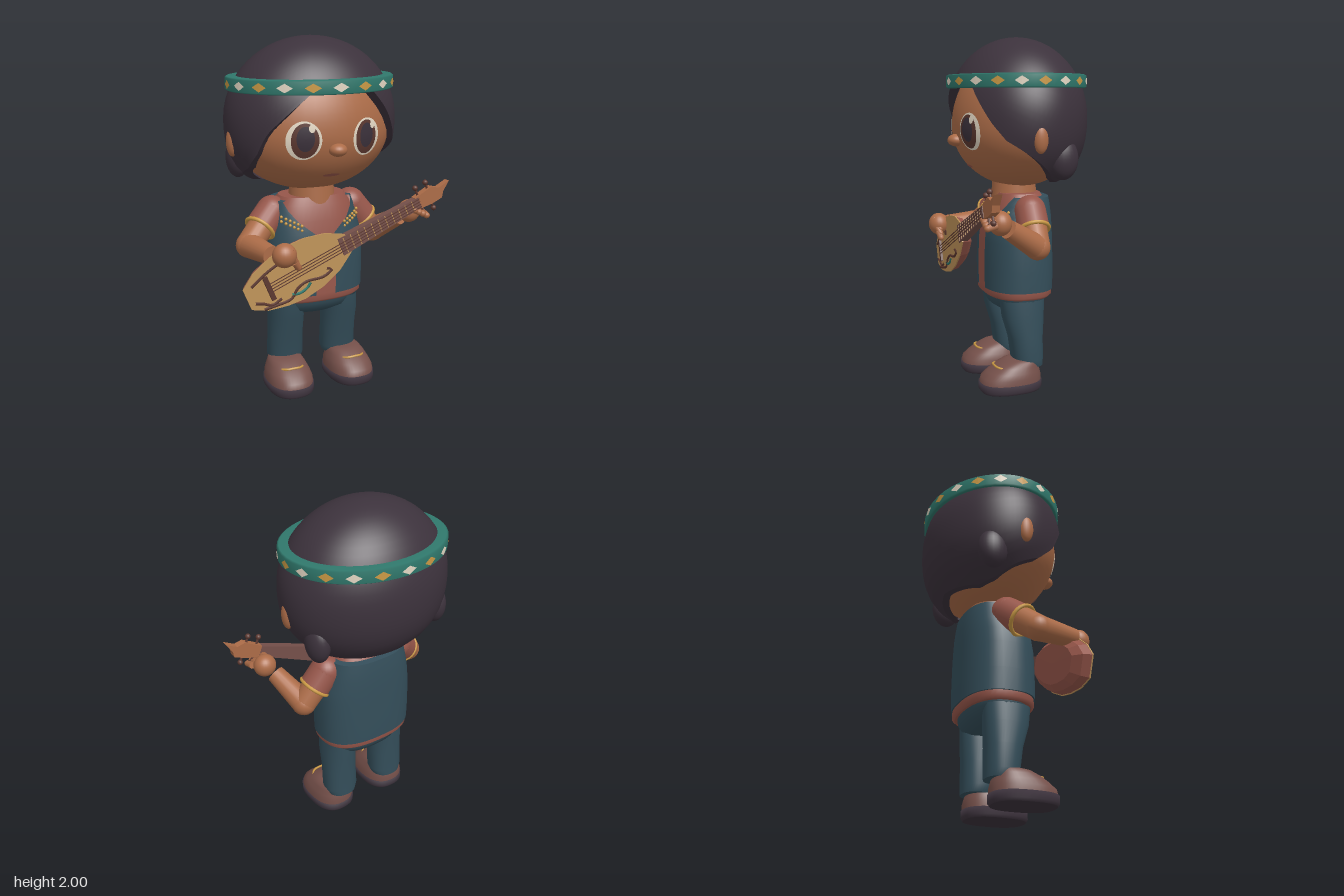
import * as THREE from 'three';

const MID = -0.08; // x of the figure's centre line
const mat = (name, color, double) => {
  const m = new THREE.MeshStandardMaterial({ color });
  m.name = name;
  if (double) m.side = THREE.DoubleSide;
  return m;
};

export function createModel() {
  const M = {
    hair: mat('dark hair', 0x3c323c, true), skin: mat('skin', 0xac6c48), teal: mat('teal', 0x30786c),
    gold: mat('gold', 0xcb9a45), cream: mat('cream', 0xe4d8c4), red: mat('brick red', 0x96564a),
    navy: mat('navy cloth', 0x344e5a, true), shoe: mat('shoe brown', 0x75504a),
    tan: mat('pale wood', 0xc0945a), wood: mat('dark wood', 0x5c3830),
  };
  const root = new THREE.Group();
  const group = (name, parent = root) => {
    const g = new THREE.Group();
    g.name = name;
    parent.add(g);
    return g;
  };
  const add = (name, geo, m, parent = root, pos = [0, 0, 0]) => {
    const mesh = new THREE.Mesh(geo, m);
    mesh.name = name;
    mesh.position.set(...pos);
    parent.add(mesh);
    return mesh;
  };
  const V = (p) => new THREE.Vector3(...p);

  // Surface from rows of points, closed round the row or open
  function grid(n, rows, fn, closed = true) {
    const pos = [], idx = [], w = closed ? n : n + 1;
    for (let j = 0; j < rows; j++) for (let i = 0; i < w; i++) pos.push(...fn(i / n, j));
    for (let j = 0; j < rows - 1; j++) for (let i = 0; i < n; i++) {
      const a = j * w + i, b = j * w + (i + 1) % w;
      idx.push(a, b, b + w, a, b + w, a + w);
    }
    const g = new THREE.BufferGeometry();
    g.setAttribute('position', new THREE.Float32BufferAttribute(pos, 3));
    g.setIndex(idx);
    g.computeVertexNormals();
    return g;
  }
  const pw = (s, e) => Math.sign(s) * Math.abs(s) ** e;
  const ring = (a, hx, hz, cz, n = 2) => [hx * pw(Math.sin(a), 2 / n), hz * pw(Math.cos(a), 2 / n) + cz];
  // Stack of rounded sections [y, halfX, halfZ, centreZ]; repeat a section for a crease
  const loft = (secs, n = 2, open) => grid(48, secs.length, (t, j) => {
    const [y, hx, hz, cz] = secs[j], o = open ? open(y) : 0;
    const [x, z] = ring(o + t * (2 * Math.PI - 2 * o), hx, hz, cz, n);
    return [x, y, z];
  }, !open);
  const ball = (name, p, r, m, parent, sides = 24) => {
    const s = add(name, new THREE.SphereGeometry(1, sides, sides * 0.75), m, parent, p);
    s.scale.set(...(Array.isArray(r) ? r : [r, r, r]));
  };
  const rod = (name, p, q, r0, r1, m, parent, sides = 20) => {
    const d = V(q).sub(V(p));
    const s = add(name, new THREE.CylinderGeometry(r1, r0, d.length(), sides), m, parent,
      V(p).add(V(q)).multiplyScalar(0.5).toArray());
    s.quaternion.setFromUnitVectors(new THREE.Vector3(0, 1, 0), d.normalize());
  };
  const tube = (name, pts, r, m, parent) =>
    add(name, new THREE.TubeGeometry(new THREE.CatmullRomCurve3(pts.map(V)), 24, r, 6), m, parent);

  // Head
  const head = group('head');
  head.position.x = MID;
  const skull = new THREE.SphereGeometry(1, 48, 36), sp = skull.attributes.position;
  for (let i = 0; i < sp.count; i++) {
    const y = sp.getY(i);
    sp.setXYZ(i, sp.getX(i) * 0.46, 1.5 + y * (y > 0 ? 0.43 : 0.345), sp.getZ(i) * 0.37 - 0.04);
  }
  skull.computeVertexNormals();
  add('face', skull, M.skin, head);
  const faceZ = (x, y) => -0.04 + 0.37 * Math.sqrt(Math.max(0,
    1 - (x / 0.46) ** 2 - ((y - 1.5) / (y > 1.5 ? 0.43 : 0.345)) ** 2));
  // Oval plate laid on the face
  const patch = (name, cx, cy, rx, ry, lift, m) => add(name, grid(32, 6, (t, j) => {
    const a = t * 2 * Math.PI, k = 1 - j / 5;
    const x = cx + rx * k * Math.cos(a), y = cy + ry * k * Math.sin(a);
    return [x, y, faceZ(x, y) + lift];
  }), m, head);
  for (const s of [-1, 1]) {
    const x = s * 0.18;
    patch('eyeWhite', x, 1.48, 0.09, 0.102, 0.004, M.cream);
    patch('iris', x - s * 0.004, 1.48, 0.07, 0.092, 0.007, M.wood);
    patch('pupil', x - s * 0.004, 1.49, 0.045, 0.066, 0.01, M.hair);
    patch('eyeGlint', x + 0.035, 1.545, 0.016, 0.022, 0.013, M.cream);
    ball('ear', [s * 0.465, 1.45, -0.01], [0.033, 0.08, 0.042], M.skin, head);
    ball('hairLock', [s * 0.385, 1.335, -0.17], [0.065, 0.115, 0.085], M.hair, head);
  }
  ball('nose', [0, 1.425, 0.325], [0.05, 0.035, 0.048], M.skin, head);
  patch('mouth', 0, 1.277, 0.05, 0.009, 0.005, M.red);

  // Hair shell, cut off at a hairline given as [azimuth in degrees, height]
  const hairline = [[-180, 1.22], [-130, 1.19], [-110, 1.21], [-90, 1.27], [-70, 1.32], [-57, 1.4], [-47, 1.52],
    [-32, 1.63], [-19, 1.72], [29, 1.72], [40, 1.62], [49, 1.53], [60, 1.44], [72, 1.39], [90, 1.31],
    [110, 1.22], [130, 1.19], [180, 1.22]];
  const lineY = (deg) => {
    const i = Math.max(1, hairline.findIndex((p) => p[0] >= deg - 1e-6));
    const [a, b] = [hairline[i - 1], hairline[i]];
    return a[1] + (b[1] - a[1]) * (deg - a[0]) / (b[0] - a[0]);
  };
  add('hair', grid(96, 24, (t, j) => {
    const a = (t * 2 - 1) * Math.PI, low = lineY(t * 360 - 180);
    const v = Math.max(0, j - 2) / 21;
    const y = low + (2 - low) * Math.sin(v * Math.PI / 2);
    const k = y > 1.55 ? Math.sqrt(Math.max(0, 1 - ((y - 1.55) / 0.45) ** 2))
      : (1 - ((1.55 - y) / 0.42) ** 2.4) ** (1 / 2.4);
    const f = j === 0 ? k * 0.86 : k;
    const [x, z] = ring(a, 0.49 * f, 0.395 * f, -0.03);
    return [x, y, z];
  }), M.hair, head);

  // Headband with diamonds
  const band = [[1.715, 0.41, 0.33], [1.715, 0.465, 0.38], [1.722, 0.475, 0.39], [1.783, 0.475, 0.39],
    [1.79, 0.465, 0.38], [1.79, 0.41, 0.33]].map((s) => [...s, -0.03]);
  add('headband', loft(band), M.teal, head);
  for (let i = 0; i < 20; i++) {
    const a0 = i * Math.PI / 10;
    add('headbandDiamond', grid(4, 2, (t, j) => {
      const b = t * 2 * Math.PI, k = 1 - j;
      const [x, z] = ring(a0 + Math.cos(b) * 0.095 * k, 0.479, 0.394, -0.03);
      return [x, 1.752 + Math.sin(b) * 0.024 * k, z];
    }), i % 2 ? M.gold : M.cream, head);
  }

  // Torso
  const body = group('body');
  body.position.x = MID;
  rod('neck', [0, 1.05, -0.02], [0, 1.2, -0.02], 0.135, 0.125, M.skin, body, 32);
  add('shirt', loft([[0.53, 0, 0, -0.02], [0.53, 0.27, 0.18, -0.02], [0.53, 0.27, 0.18, -0.02],
    [0.545, 0.285, 0.195, -0.02], [0.58, 0.283, 0.193, -0.02], [0.85, 0.275, 0.188, -0.02],
    [1.0, 0.25, 0.172, -0.03], [1.08, 0.225, 0.15, -0.035], [1.125, 0.19, 0.125, -0.03],
    [1.125, 0.19, 0.125, -0.03], [1.125, 0, 0, -0.03]], 2.5), M.red, body);
  const openAt = (y) => y < 0.93 ? 0.14 : 0.14 + (y - 0.93) / 0.17 * 0.85;
  const vest = [[0.575, 0.27, 0.18, -0.02], [0.575, 0.292, 0.2, -0.02], [0.575, 0.292, 0.2, -0.02],
    [0.7, 0.294, 0.201, -0.02], [0.85, 0.29, 0.198, -0.02], [0.93, 0.28, 0.192, -0.024], [1.0, 0.265, 0.183, -0.03],
    [1.06, 0.25, 0.172, -0.035], [1.105, 0.235, 0.16, -0.04], [1.105, 0.235, 0.16, -0.04], [1.11, 0.18, 0.12, -0.04]];
  add('vest', loft(vest, 2.5, openAt), M.navy, body);
  // Gold beads on the chest of the vest
  for (const s of [-1, 1]) for (let r = 0; r < 2; r++) for (let i = 0; i < 6; i++) {
    const y = 0.955 + i * 0.01 + r * 0.026, x = 0.13 + i * 0.02;
    const z = -0.028 + 0.184 * (1 - (x / 0.27) ** 2.5) ** 0.4;
    ball('vestBead', [s * x, y, z], 0.009, M.gold, body, 8);
  }

  // Trousers and shoes
  add('hips', loft([[0.43, 0, 0, -0.02], [0.44, 0.14, 0.1, -0.02], [0.47, 0.23, 0.145, -0.02],
    [0.51, 0.26, 0.165, -0.02], [0.54, 0.26, 0.17, -0.02]], 2.3), M.navy, body);
  for (const s of [-1, 1]) {
    const leg = group('leg', body);
    leg.position.x = s * 0.17;
    add('trouserLeg', loft([[0.13, 0, 0, -0.04], [0.13, 0.09, 0.085, -0.045], [0.13, 0.09, 0.085, -0.045],
      [0.17, 0.105, 0.09, -0.04], [0.3, 0.1, 0.1, -0.03], [0.42, 0.098, 0.122, -0.015],
      [0.52, 0.09, 0.13, -0.01]], 2.3), M.navy, leg);
    const shoe = group('shoe', leg);
    shoe.position.x = s * 0.02;
    shoe.rotation.y = s * 0.03;
    add('sole', loft([[0, 0, 0, 0.07], [0, 0.122, 0.172, 0.07], [0, 0.122, 0.172, 0.07],
      [0.015, 0.133, 0.182, 0.07], [0.055, 0.133, 0.182, 0.07], [0.055, 0, 0, 0.07]], 2.5), M.hair, shoe);
    add('upper', loft([[0.05, 0.13, 0.178, 0.07], [0.085, 0.128, 0.174, 0.066], [0.115, 0.118, 0.152, 0.052],
      [0.145, 0.105, 0.126, 0.035], [0.168, 0.092, 0.1, 0.012], [0.178, 0.07, 0.08, 0],
      [0.18, 0, 0, 0]], 2.4), M.shoe, shoe);
    tube('shoeCord', [[-0.085, 0.135, 0.11], [-0.04, 0.147, 0.16], [0, 0.15, 0.166],
      [0.04, 0.147, 0.16], [0.085, 0.135, 0.11]], 0.007, M.gold, shoe);
  }

  // Arms: shoulder, elbow, wrist, hand
  const arms = [
    ['rightArm', [-0.32, 1.04, -0.03], [-0.495, 0.89, 0.07], [-0.45, 0.89, 0.3], [-0.4, 0.9, 0.355]],
    ['leftArm', [0.17, 1.04, -0.03], [0.315, 0.86, -0.02], [0.385, 0.98, 0.17], [0.42, 1.02, 0.225]],
  ];
  for (const [name, sh, el, wr, hand] of arms) {
    const g = group(name);
    const mid = V(sh).lerp(V(el), 0.52).toArray();
    ball('shoulder', sh, 0.088, M.red, g);
    rod('sleeve', sh, mid, 0.088, 0.088, M.red, g);
    const cuff = add('goldCuff', new THREE.TorusGeometry(0.084, 0.011, 8, 28), M.gold, g, mid);
    cuff.quaternion.setFromUnitVectors(new THREE.Vector3(0, 0, 1), V(el).sub(V(sh)).normalize());
    rod('upperArm', mid, el, 0.074, 0.07, M.skin, g);
    ball('elbow', el, 0.071, M.skin, g);
    rod('forearm', el, wr, 0.07, 0.052, M.skin, g);
    ball('hand', hand, [0.066, 0.066, 0.06], M.skin, g);
    const right = name === 'rightArm';
    for (let i = 0; i < 4; i++) {
      const p = right ? [-0.385 + i * 0.012, 0.935 - i * 0.025, 0.385 - i * 0.006]
        : [0.4 + i * 0.026, 1.055 - i * 0.012, 0.265];
      const q = right ? [p[0] + 0.025, p[1] - 0.035, 0.36] : [p[0] + 0.006, p[1] - 0.012, 0.315];
      rod('finger', p, q, 0.021, 0.018, M.skin, g, 10);
      ball('fingertip', q, 0.018, M.skin, g, 12);
    }
  }

  // Lute, built along its own x axis from the bridge
  const lute = group('lute');
  lute.position.set(-0.476, 0.72, 0);
  lute.rotation.z = 0.385;
  const side = [[0.5, 0.055], [0.4, 0.115], [0.28, 0.15], [0.16, 0.16], [0.06, 0.145], [-0.05, 0.112], [-0.13, 0.06]];
  const outline = [...side, ...side.map(([u, v]) => [u, -v]).reverse()];
  const rows = [[0, 0.235], [0.72, 0.238], [0.93, 0.27], [1, 0.312]];
  const bowl = grid(outline.length, rows.length, (t, j) => {
    const [u, v] = outline[Math.round(t * outline.length)], [k, z] = rows[j];
    return [0.17 + (u - 0.17) * k, v * k, z];
  }).toNonIndexed();
  bowl.computeVertexNormals();
  add('luteBowl', bowl, M.red, lute);
  const slab = (name, pts, z, depth, m) => add(name, new THREE.ExtrudeGeometry(
    new THREE.Shape(pts.map((p) => new THREE.Vector2(...p))), { depth, bevelEnabled: false }), m, lute, [0, 0, z]);
  slab('soundboard', outline.map(([u, v]) => [u, v * 1.03]), 0.312, 0.008, M.tan);
  slab('fingerboard', [[0.45, -0.052], [0.98, -0.032], [0.98, 0.032], [0.45, 0.052]], 0.282, 0.043, M.shoe);
  slab('headstock', [[0.96, -0.035], [1.05, -0.045], [1.12, -0.042], [1.14, -0.01], [1.195, 0.03],
    [1.12, 0.022], [1.08, 0.05], [0.96, 0.036]], 0.28, 0.042, M.skin);
  add('bridge', new THREE.BoxGeometry(0.026, 0.14, 0.016), M.wood, lute, [0, 0, 0.326]);
  for (let i = 0; i < 4; i++) {
    const v = (i - 1.5) * 0.016;
    add('string', new THREE.BoxGeometry(0.98, 0.004, 0.003), M.wood, lute, [0.49, v, 0.331]);
    const s = i % 2 ? 1 : -1, u = i < 2 ? 0.99 : 1.06;
    rod('pegShaft', [u, s * 0.03, 0.3], [u, s * 0.075, 0.3], 0.007, 0.007, M.wood, lute, 8);
    ball('pegKnob', [u, s * 0.082, 0.3], 0.016, M.wood, lute, 12);
  }
  for (let i = 0; i < 11; i++)
    add('fret', new THREE.BoxGeometry(0.005, 0.09 - i * 0.0028, 0.003), M.tan, lute, [0.48 + i * 0.045, 0, 0.326]);
  // Carved scrolls on the soundboard
  const scroll = (name, pts, m) => tube(name, pts.map(([u, v]) => [u, v, 0.321]), 0.008, m, lute);
  scroll('upperScroll', [[-0.085, 0.055], [-0.04, 0.068], [0.03, 0.088], [0.12, 0.098], [0.165, 0.088], [0.15, 0.065]], M.wood);
  scroll('lowerScroll', [[-0.07, -0.095], [0, -0.11], [0.09, -0.12], [0.14, -0.085], [0.2, -0.075],
    [0.3, -0.1], [0.36, -0.085], [0.33, -0.065]], M.wood);
  scroll('tailScroll', [[-0.1, -0.04], [-0.065, -0.06], [-0.02, -0.095], [0.04, -0.09]], M.wood);
  scroll('tealScroll', [[0.1, -0.1], [0.14, -0.115], [0.19, -0.11], [0.22, -0.092]], M.teal);

  return root;
}
